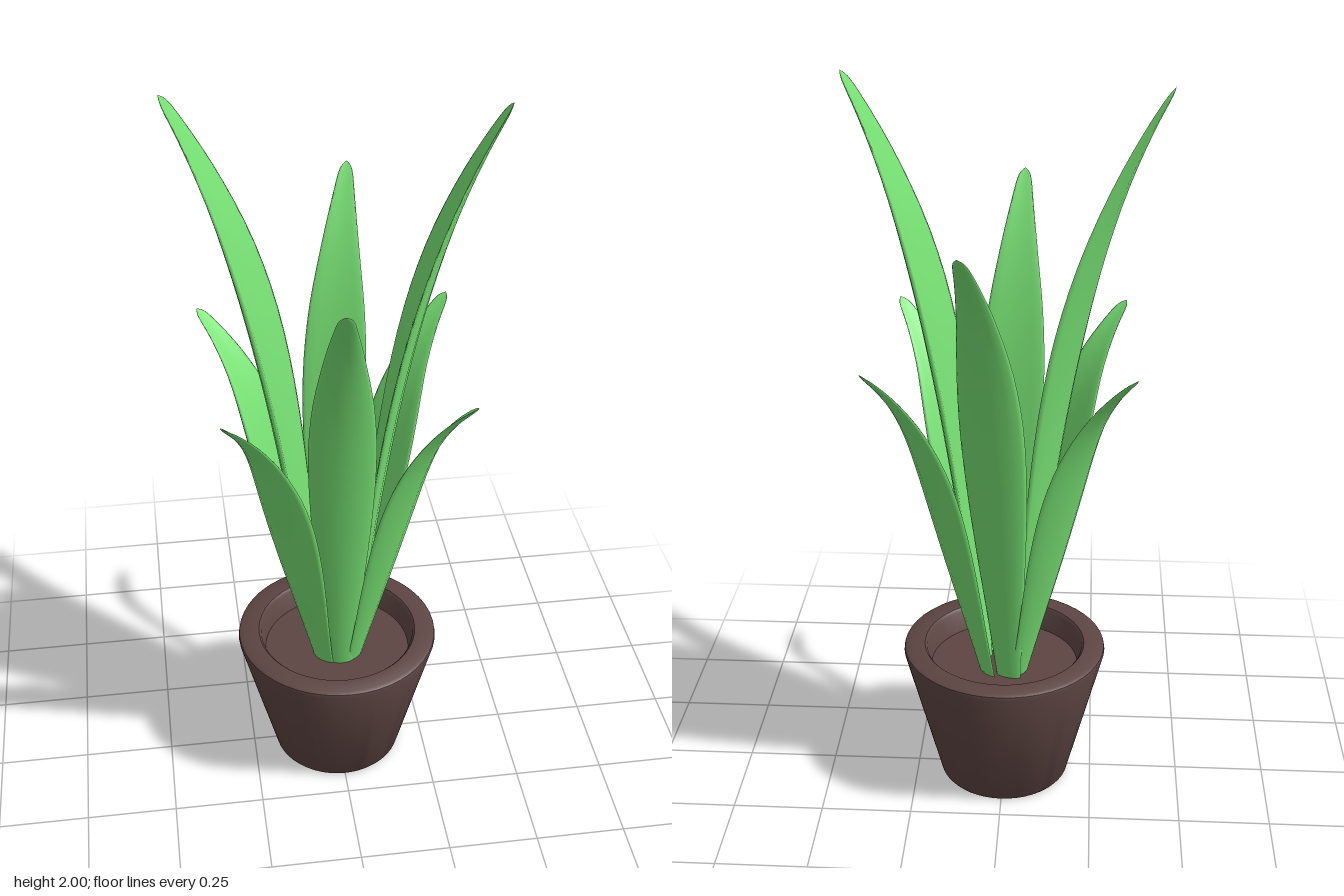
import * as THREE from 'three';
import { toCreasedNormals } from 'three/addons/utils/BufferGeometryUtils.js';

const SOIL_Y = 0.34;
const ROWS = 30, SIDES = 14;

// Half-width of a leaf along its length, as a share of the widest point
const outline = new THREE.SplineCurve([
  [0, 0.4], [0.15, 0.58], [0.3, 0.78], [0.45, 0.94], [0.6, 1], [0.73, 0.88],
  [0.85, 0.6], [0.94, 0.35], [0.985, 0.2], [1, 0],
].map(([t, w]) => new THREE.Vector2(t, w)));

// Thin cupped section swept along a path that leans steadily, then droops out at the tip.
// lean = share of the reach covered in a straight line, droop = how late the tip bends.
function leafGeometry({ base, tip, height, halfWidth, lean, droop }) {
  const dx = tip[0] - base[0], dz = tip[1] - base[1];
  const reach = Math.hypot(dx, dz), rise = height - SOIL_Y;
  const out = new THREE.Vector3(dx / reach, 0, dz / reach);
  const side = new THREE.Vector3(-out.z, 0, out.x);
  const positions = [], indices = [];

  for (let i = 0; i <= ROWS; i++) {
    const p = outline.getPoint(i / ROWS);
    const t = Math.min(p.x, 1), share = Math.max(p.y, 0);
    const bend = lean * t + (1 - lean) * t ** droop;
    const slope = reach * (lean + (1 - lean) * droop * t ** (droop - 1));
    const normal = out.clone().multiplyScalar(rise);
    normal.y = -slope;
    normal.normalize();
    const centre = new THREE.Vector3(base[0] + dx * bend, SOIL_Y + rise * t, base[1] + dz * bend);
    for (let j = 0; j < SIDES; j++) {
      const a = (j / SIDES) * Math.PI * 2, c = Math.cos(a);
      const depth = share * (0.014 * Math.sin(a) + halfWidth * 0.18 * (0.5 - c * c));
      const v = centre.clone()
        .addScaledVector(side, halfWidth * share * c)
        .addScaledVector(normal, depth);
      positions.push(v.x, v.y, v.z);
      if (i < ROWS) {
        const k = (j + 1) % SIDES, r = i * SIDES;
        indices.push(r + j, r + k, r + SIDES + j, r + k, r + SIDES + k, r + SIDES + j);
      }
    }
  }
  const geometry = new THREE.BufferGeometry();
  geometry.setAttribute('position', new THREE.Float32BufferAttribute(positions, 3));
  geometry.setIndex(indices);
  geometry.computeVertexNormals();
  return geometry;
}

export function createModel() {
  const model = new THREE.Group();
  model.name = 'pottedPlant';
  const potMaterial = new THREE.MeshStandardMaterial({ color: 0x5d4542 });
  const leafMaterial = new THREE.MeshStandardMaterial({ color: 0x78e274 });

  // Tapered pot with a hollow rim
  const profile = [
    [0, 0], [0.178, 0], [0.183, 0.006], [0.283, 0.398], [0.281, 0.408], [0.273, 0.413],
    [0.225, 0.413], [0.218, 0.405], [0.2, 0.3],
  ].map(([x, y]) => new THREE.Vector2(x, y));
  const pot = new THREE.Mesh(toCreasedNormals(new THREE.LatheGeometry(profile, 48), 0.6), potMaterial);
  pot.name = 'pot';
  model.add(pot);

  // Soil disc inside the pot
  const soil = new THREE.Mesh(new THREE.CylinderGeometry(0.207, 0.2, 0.05, 48), potMaterial);
  soil.name = 'soil';
  soil.position.y = SOIL_Y - 0.02;
  model.add(soil);

  // Leaves: a tall pair at the sides, a middle pair front and back, four short diagonals
  const tall = { height: 2, halfWidth: 0.132, lean: 0.45, droop: 4 };
  const middle = { height: 1.67, halfWidth: 0.087, lean: 0.6, droop: 6 };
  const short = { height: 1.33, halfWidth: 0.088, lean: 0.65, droop: 7 };
  const leaves = [
    ['tallLeafLeft', tall, [0.05, -0.012], [0.408, 0.05]],
    ['tallLeafRight', tall, [-0.05, 0], [-0.408, -0.11]],
    ['middleLeafFront', middle, [0, 0.07], [-0.035, 0.415]],
    ['middleLeafBack', middle, [-0.015, -0.075], [0.085, -0.42]],
    ['shortLeafFrontLeft', short, [0.047, 0.05], [0.305, 0.305]],
    ['shortLeafFrontRight', short, [-0.047, 0.05], [-0.32, 0.31]],
    ['shortLeafBackLeft', short, [0.047, -0.055], [0.34, -0.285]],
    ['shortLeafBackRight', short, [-0.047, -0.055], [-0.34, -0.285]],
  ];
  for (const [name, size, base, tip] of leaves) {
    const leaf = new THREE.Mesh(leafGeometry({ ...size, base, tip }), leafMaterial);
    leaf.name = name;
    model.add(leaf);
  }
  return model;
}
